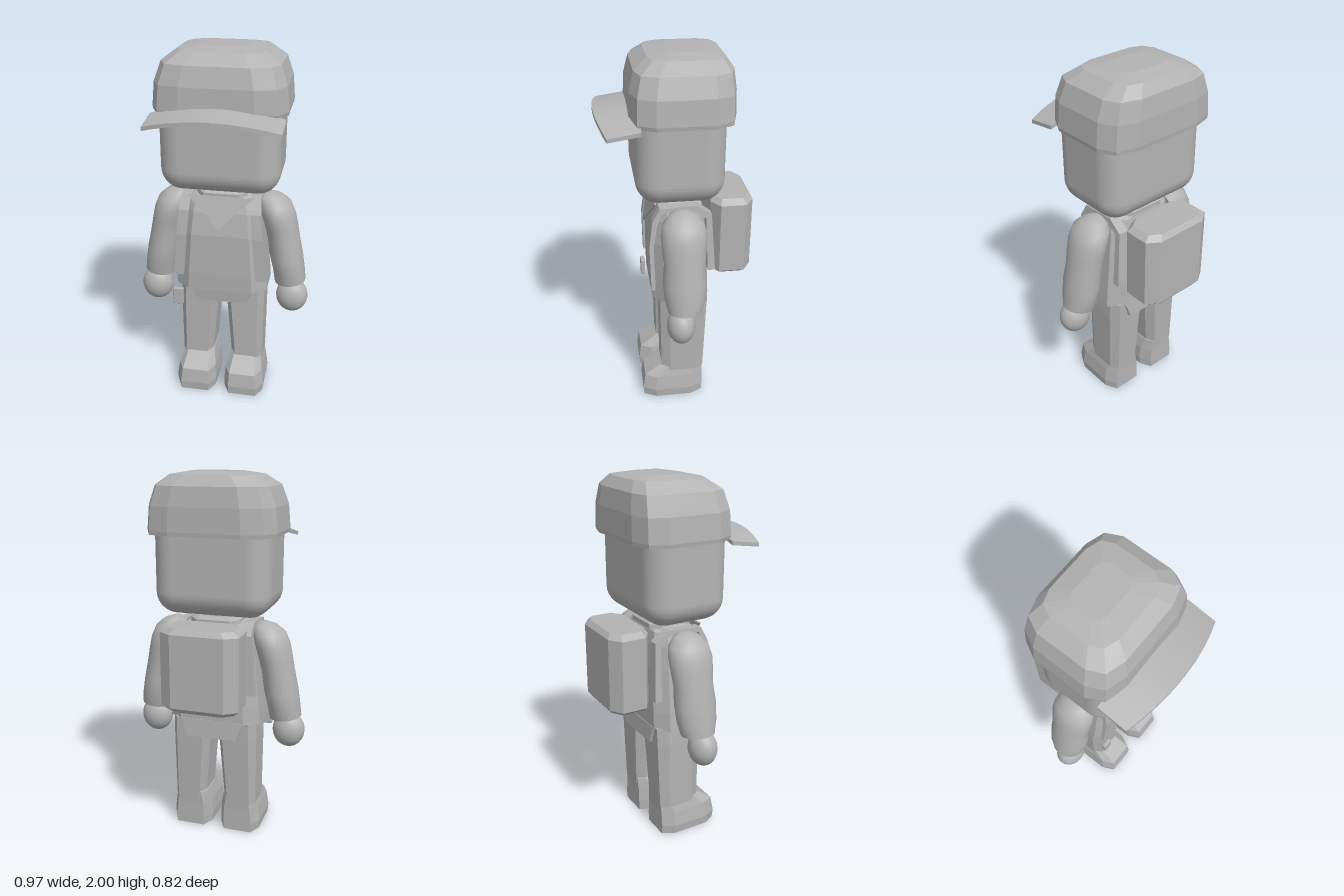
import * as THREE from 'three';
import { toCreasedNormals } from 'three/addons/utils/BufferGeometryUtils.js';
import { RoundedBoxGeometry } from 'three/addons/geometries/RoundedBoxGeometry.js';

// First quadrant outlines of unit cross-sections, mirrored by loft()
const octagon = [[1, 0.6], [0.7, 1]];
const twelve = [[1, 0.55], [0.87, 0.88], [0.55, 1]];
const round = [0.5, 1.5, 2.5, 3.5, 4.5].map((k) => [Math.cos(k * Math.PI / 10), Math.sin(k * Math.PI / 10)]);

// Closed skin through horizontal rings [y, centreX, halfWidth, zBack, zFront, tilt]
function loft(rings, quadrant) {
  const rev = [...quadrant].reverse();
  const outline = [
    ...quadrant, ...rev.map(([x, z]) => [-x, z]),
    ...quadrant.map(([x, z]) => [-x, -z]), ...rev.map(([x, z]) => [x, -z]),
  ];
  const n = outline.length;
  const pts = rings.map(([y, cx, hw, zb, zf, tilt = 0]) => outline.map(([x, z]) =>
    [cx + x * hw, y + x * tilt, (zb + zf) / 2 + z * (zf - zb) / 2]));
  const centre = ([y, cx, , zb, zf]) => [cx, y, (zb + zf) / 2];
  const out = [];
  const last = rings.length - 1;
  for (let j = 0; j < n; j++) {
    const k = (j + 1) % n;
    for (let i = 0; i < last; i++) {
      const a = pts[i][j], b = pts[i][k], c = pts[i + 1][j], d = pts[i + 1][k];
      out.push(...a, ...c, ...b, ...b, ...c, ...d);
    }
    out.push(...centre(rings[0]), ...pts[0][j], ...pts[0][k]);
    out.push(...centre(rings[last]), ...pts[last][k], ...pts[last][j]);
  }
  const g = new THREE.BufferGeometry();
  g.setAttribute('position', new THREE.Float32BufferAttribute(out, 3));
  g.computeVertexNormals();
  return g;
}

export function createModel() {
  const model = new THREE.Group();
  model.name = 'capFigure';
  const grey = new THREE.MeshStandardMaterial({ color: 0xb3b3b3 });
  grey.name = 'plain grey';
  const add = (name, geometry, x = 0, y = 0, z = 0) => {
    const m = new THREE.Mesh(geometry, grey);
    m.name = name;
    m.position.set(x, y, z);
    model.add(m);
    return m;
  };

  // Head and neck
  add('head', new RoundedBoxGeometry(0.635, 0.64, 0.46, 6, 0.12), 0, 1.58, -0.012);
  add('neck', new THREE.CylinderGeometry(0.09, 0.1, 0.14, 12), 0, 1.23, -0.02);
  add('collar', loft([
    [1.21, 0, 0.14, -0.15, 0.1], [1.235, 0, 0.135, -0.15, 0.1], [1.25, 0, 0.11, -0.13, 0.08],
  ], octagon));

  // Cap with a bowed peak
  add('capCrown', loft([
    [1.685, 0, 0.345, -0.29, 0.235],
    [1.705, 0, 0.348, -0.292, 0.24],
    [1.83, 0, 0.337, -0.29, 0.235],
    [1.93, 0, 0.302, -0.278, 0.21],
    [1.983, 0, 0.225, -0.24, 0.14],
    [2, 0, 0.13, -0.15, 0.04],
  ], twelve));
  const peak = new THREE.BoxGeometry(0.684, 0.02, 1, 16, 1, 2);
  const p = peak.attributes.position;
  for (let i = 0; i < p.count; i++) {
    const u = p.getX(i) / 0.342, t = p.getZ(i) + 0.5;
    const front = 0.41 - 0.055 * u * u;
    p.setZ(i, 0.19 + (front - 0.19) * t);
    p.setY(i, p.getY(i) + 1.73 - 0.055 * u * u - 0.025 * t);
  }
  peak.computeVertexNormals();
  add('capPeak', peak);

  // Vest, hips and neckerchief
  add('vest', loft([
    [0.66, 0, 0.258, -0.172, 0.135],
    [0.76, 0, 0.25, -0.172, 0.138],
    [1, 0, 0.225, -0.165, 0.14],
    [1.13, 0, 0.21, -0.155, 0.12],
    [1.2, 0, 0.19, -0.14, 0.095],
    [1.225, 0, 0.13, -0.12, 0.07],
  ], octagon));
  add('hips', loft([[0.57, 0, 0.15, -0.182, 0.1], [0.67, 0, 0.185, -0.175, 0.11]], [[1, 0.85], [0.95, 1]]));
  const triangle = new THREE.Shape([
    new THREE.Vector2(0, 0), new THREE.Vector2(0.18, 0.18), new THREE.Vector2(-0.18, 0.18),
  ]);
  const kerchief = add('neckerchief',
    new THREE.ExtrudeGeometry(triangle, { depth: 0.01, bevelEnabled: false }), 0, 1.05, 0.158);
  kerchief.rotation.x = -0.28;

  // Backpack
  add('backpack', loft([
    [0.79, 0, 0.18, -0.395, -0.2],
    [0.815, 0, 0.212, -0.413, -0.185],
    [1.21, 0, 0.212, -0.413, -0.185],
    [1.237, 0, 0.18, -0.392, -0.2],
  ], [[1, 0.6], [0.68, 1]]));

  // Side profile of a strap: outer edge up and over, inner edge back
  const strapShape = new THREE.Shape([
    [0.147, 0.75], [0.153, 1], [0.135, 1.14], [0.095, 1.215], [-0.1, 1.225], [-0.18, 1.17], [-0.2, 0.85],
    [-0.16, 0.85], [-0.15, 1.15], [-0.09, 1.195], [0.08, 1.19], [0.11, 1.12], [0.13, 1], [0.125, 0.75],
  ].map(([z, y]) => new THREE.Vector2(z, y)));

  for (const [side, s] of [['left', 1], ['right', -1]]) {
    // Shoulder straps, leaning outward towards the hem
    const strap = new THREE.ExtrudeGeometry(strapShape, { depth: 0.055, bevelEnabled: false });
    strap.rotateY(-Math.PI / 2);
    strap.translate(s * 0.19 + 0.0275, 0, 0);
    const q = strap.attributes.position;
    for (let i = 0; i < q.count; i++) q.setX(i, q.getX(i) + s * (1.2 - q.getY(i)) * 0.09);
    strap.computeVertexNormals();
    add(side + 'Strap', strap);

    // Puffy sleeve and ball hand
    const sleeve = loft([
      [0.69, s * 0.38, 0.087, -0.11, 0.075, s * 0.01],
      [0.76, s * 0.37, 0.09, -0.13, 0.09],
      [0.85, s * 0.352, 0.094, -0.135, 0.098],
      [0.95, s * 0.335, 0.09, -0.13, 0.088],
      [1.03, s * 0.318, 0.092, -0.138, 0.096],
      [1.1, s * 0.3, 0.095, -0.142, 0.1],
      [1.16, s * 0.28, 0.09, -0.13, 0.088],
      [1.2, s * 0.26, 0.065, -0.09, 0.05],
      [1.218, s * 0.25, 0.025, -0.05, 0.01],
    ], round);
    add(side + 'Sleeve', toCreasedNormals(sleeve, 0.9));
    add(side + 'Hand', new THREE.SphereGeometry(1, 24, 16), s * 0.395, 0.605, 0.005).scale.set(0.09, 0.1, 0.076);

    // Trouser leg and boot
    add(side + 'Leg', loft([
      [0.17, s * 0.147, 0.09, -0.15, 0.09],
      [0.57, s * 0.133, 0.108, -0.165, 0.095],
      [0.67, s * 0.133, 0.104, -0.168, 0.095],
    ], octagon));
    add(side + 'Boot', loft([
      [0, s * 0.141, 0.113, -0.145, 0.196],
      [0.05, s * 0.142, 0.117, -0.145, 0.2],
      [0.135, s * 0.139, 0.108, -0.145, 0.188],
      [0.205, s * 0.138, 0.09, -0.148, 0.09],
      [0.23, s * 0.14, 0.08, -0.145, 0.06],
    ], octagon));
  }

  // Small pouch hanging at the hip
  add('hipPouch', new RoundedBoxGeometry(0.06, 0.1, 0.025, 2, 0.006), -0.235, 0.615, 0.152);
  return model;
}
